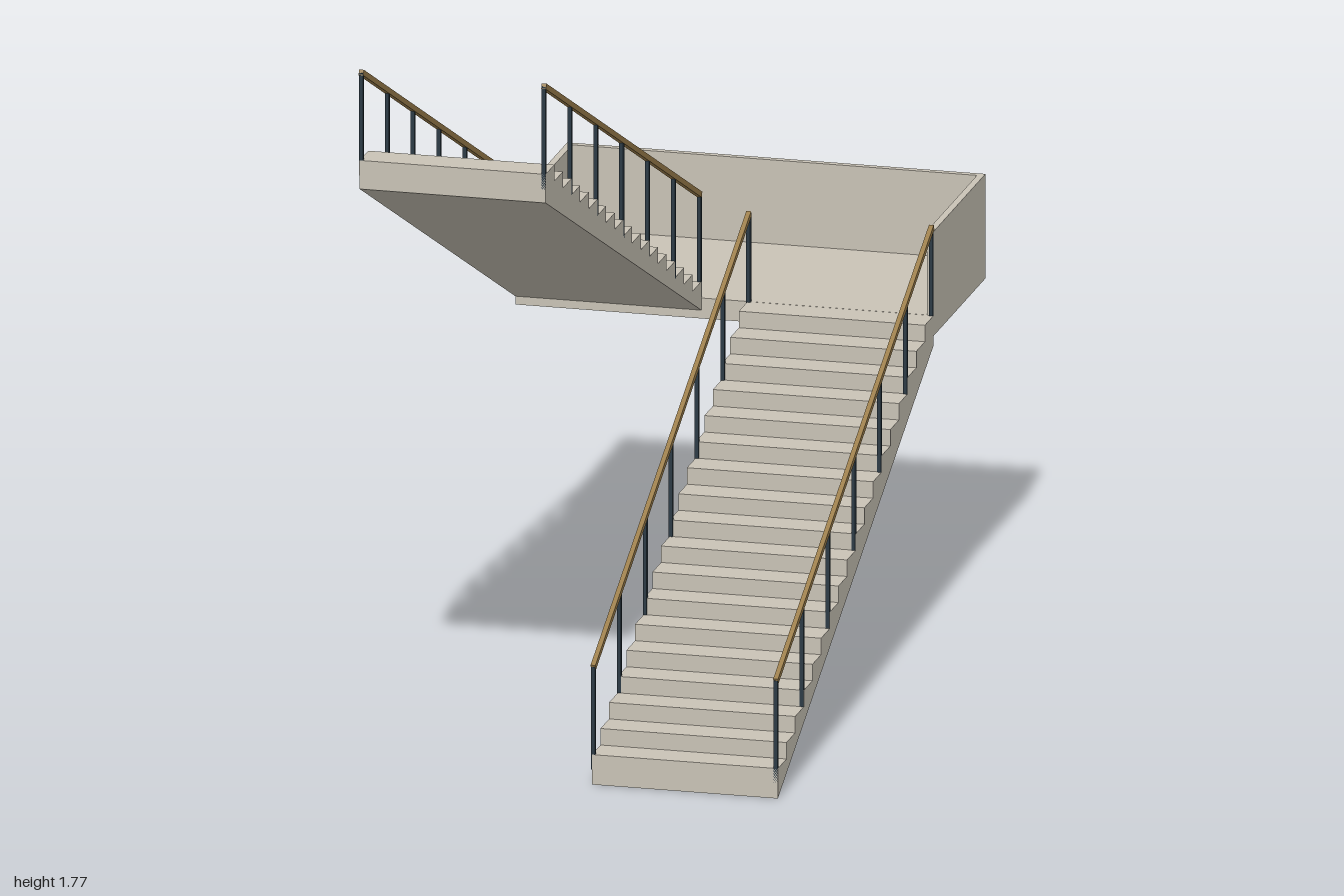
import * as THREE from 'three';

const STEPS = 18, RISE = 0.0418, RUN = 1.5, SOFFIT_RISE = 0.711;
const FRONT = 1, BACK = -0.5;
const INNER = 0.058, OUTER = 0.525;

function material(name, color) {
  const m = new THREE.MeshStandardMaterial({ color });
  m.name = name;
  return m;
}

function box(name, mat, w, h, d, x, y, z) {
  const mesh = new THREE.Mesh(new THREE.BoxGeometry(w, h, d), mat);
  mesh.name = name;
  mesh.position.set(x, y, z);
  return mesh;
}

// Sawtooth side profile with a straight soffit, extruded across the width
function flight(name, mat, zStart, dir, soffitY, firstTread, xMax) {
  const s = new THREE.Shape();
  s.moveTo(zStart, soffitY);
  for (let i = 0; i < STEPS; i++) {
    const y = firstTread + i * RISE;
    s.lineTo(zStart + dir * RUN * i / STEPS, y);
    s.lineTo(zStart + dir * RUN * (i + 1) / STEPS, y);
  }
  s.lineTo(zStart + dir * RUN, soffitY + SOFFIT_RISE);
  s.closePath();
  const g = new THREE.ExtrudeGeometry(s, { depth: OUTER - INNER, bevelEnabled: false });
  g.rotateY(-Math.PI / 2);
  g.translate(xMax, 0, 0);
  const mesh = new THREE.Mesh(g, mat);
  mesh.name = name;
  return mesh;
}

// Seven posts carrying one sloping handrail
function railing(name, postMat, railMat, x, zStart, dir, baseY) {
  const group = new THREE.Group();
  group.name = name;
  const height = 0.26, span = RUN - 0.005;
  for (let i = 0; i <= 6; i++) {
    const y = baseY + SOFFIT_RISE * i / 6;
    group.add(box('post', postMat, 0.01, height, 0.01, x, y + height / 2, zStart + dir * span * i / 6));
  }
  const rail = box('handrail', railMat, 0.012, 0.014, Math.hypot(span, SOFFIT_RISE) + 0.006,
    x, baseY + height + SOFFIT_RISE / 2, zStart + dir * span / 2);
  rail.rotation.x = -dir * Math.atan2(SOFFIT_RISE, span);
  group.add(rail);
  return group;
}

export function createModel() {
  const stone = material('stone', 0xc9c3b6);
  const metal = material('dark metal', 0x2b3a44);
  const wood = material('wood', 0x9c7f4c);
  const model = new THREE.Group();
  model.name = 'staircase';

  // Two flights running in opposite directions
  model.add(flight('lowerFlight', stone, FRONT, -1, 0, 0.076, OUTER));
  model.add(flight('upperFlight', stone, BACK, 1, 0.756, 0.829, -INNER));

  // Landing slab with a parapet on three sides
  const floorY = 0.787, bottomY = 0.735, topY = 1.0, t = 0.017;
  const wallH = topY - floorY, wallY = (topY + floorY) / 2;
  const landing = new THREE.Group();
  landing.name = 'landing';
  landing.add(box('landingSlab', stone, 2 * OUTER, floorY - bottomY, 0.5, 0, (floorY + bottomY) / 2, -0.75));
  landing.add(box('backParapet', stone, 2 * OUTER, wallH, t, 0, wallY, -1 + t / 2));
  for (const side of [-1, 1]) {
    landing.add(box('sideParapet', stone, t, wallH, 0.5 - t, side * (OUTER - t / 2), wallY, -0.75 + t / 2));
  }
  model.add(landing);

  // Railings on both edges of each flight
  for (const x of [0.061, 0.5195]) {
    model.add(railing('lowerRailing', metal, wood, x, 0.995, -1, 0.038));
    model.add(railing('upperRailing', metal, wood, -x - 0.002, BACK, 1, 0.79));
  }
  return model;
}
